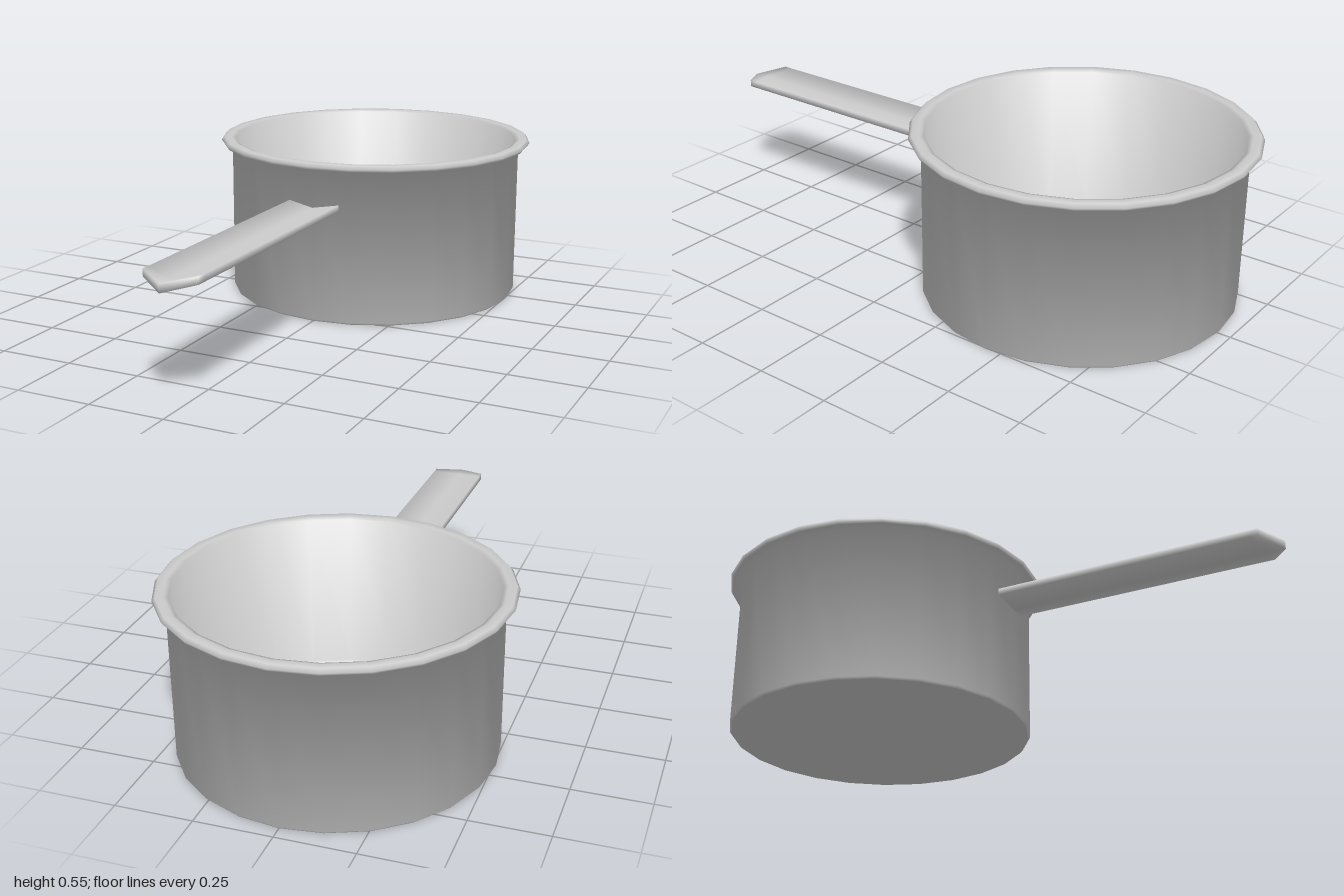
import * as THREE from 'three';

const SIDES = 24;
const POT_Z = -0.45;

// Turned part with soft shading: each profile point takes the evenly
// weighted average of the directions its two neighbouring segments face
function softLathe(points) {
  const profile = points.map(([r, y]) => new THREE.Vector2(r, y));
  const facing = profile.slice(1).map((p, i) => {
    const d = p.clone().sub(profile[i]).normalize();
    return new THREE.Vector2(d.y, -d.x);
  });
  const soft = profile.map((_, i) => {
    const before = facing[Math.max(i - 1, 0)];
    const after = facing[Math.min(i, facing.length - 1)];
    return before.clone().add(after).normalize();
  });
  const geometry = new THREE.LatheGeometry(profile, SIDES);
  const normal = geometry.attributes.normal;
  for (let i = 0; i < normal.count; i++) {
    const n = soft[i % profile.length];
    const angle = Math.floor(i / profile.length) / SIDES * Math.PI * 2;
    normal.setXYZ(i, n.x * Math.sin(angle), n.y, n.x * Math.cos(angle));
  }
  return geometry;
}

// Shallow V-section bar, pointed at the free end, shaded softly over its edges
function handleGeometry() {
  const geometry = new THREE.BoxGeometry(2, 2, 2, 2, 1, 2);
  const { position, normal } = geometry.attributes;
  const n = new THREE.Vector3();
  for (let i = 0; i < position.count; i++) {
    const x = position.getX(i), y = position.getY(i), z = position.getZ(i);
    const side = Math.abs(x);
    n.set(x - 0.17 * Math.sign(x) * y, y, z > 0 ? 1 : 0).normalize();
    normal.setXYZ(i, n.x, n.y, n.z);
    const height = y > 0 ? 0.395 + 0.015 * side : 0.367 + 0.02 * side;
    let along = 0.055 - 0.013 * side;
    if (z === 0) along = 0.95 - 0.04 * side;
    if (z > 0) along = 1 - 0.06 * side;
    position.setXYZ(i, x * 0.09, height, along);
  }
  return geometry;
}

export function createModel() {
  const group = new THREE.Group();
  const material = new THREE.MeshStandardMaterial({ color: 0xcccccc });
  const add = (name, geometry, z = 0) => {
    const mesh = new THREE.Mesh(geometry, material);
    mesh.name = name;
    mesh.position.z = z;
    group.add(mesh);
  };

  // Flat underside and inner floor
  add('underside', softLathe([[0, 0], [0.505, 0]]), POT_Z);
  add('floor', softLathe([[0.49, 0.01], [0, 0.01]]), POT_Z);

  // Outer wall, rolled rim and inner wall as one continuous shell
  add('wallAndRim', softLathe([
    [0.505, 0], [0.511, 0.007], [0.511, 0.53],
    [0.542, 0.53], [0.55, 0.541], [0.54, 0.552],
    [0.515, 0.552], [0.5, 0.547], [0.5, 0.02], [0.49, 0.01],
  ]), POT_Z);

  add('handle', handleGeometry());

  return group;
}
